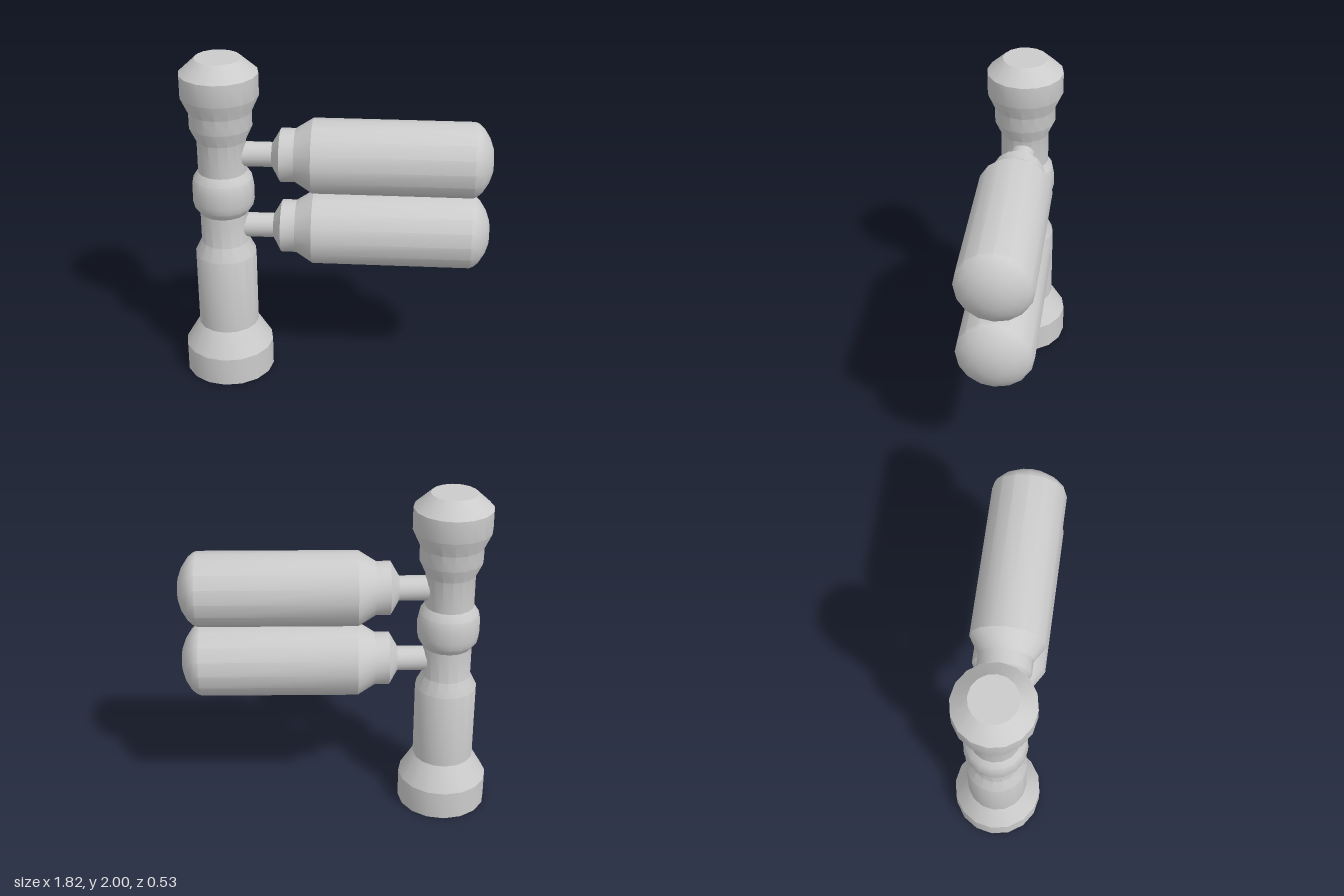
import * as THREE from 'three';
import { toCreasedNormals } from 'three/addons/utils/BufferGeometryUtils.js';

const SIDES = 16;
const COLUMN_X = -0.645;
const material = new THREE.MeshStandardMaterial({ color: 0xcccccc });

// Turned part from [radius, height] pairs, with sharp edges kept
function turned(name, profile) {
  const points = profile.map(([r, h]) => new THREE.Vector2(r, h));
  const geometry = toCreasedNormals(new THREE.LatheGeometry(points, SIDES), THREE.MathUtils.degToRad(29));
  const mesh = new THREE.Mesh(geometry, material);
  mesh.name = name;
  return mesh;
}

export function createModel() {
  const model = new THREE.Group();
  model.name = 'columnWithTwoArms';

  // Upright column: wide foot, shaft, middle bulge and flared cap
  const column = turned('column', [
    [0, 0], [0.267, 0], [0.267, 0.175], [0.182, 0.32],
    [0.182, 0.79], [0.143, 0.87], [0.143, 1.06],
    [0.172, 1.1], [0.182, 1.145], [0.182, 1.225], [0.172, 1.275], [0.143, 1.32],
    [0.143, 1.515], [0.182, 1.6], [0.182, 1.69],
    [0.225, 1.785], [0.225, 1.915], [0.132, 2], [0, 2],
  ]);
  column.position.x = COLUMN_X;
  model.add(column);

  // Two matching horizontal arms; profile heights are x positions
  const armProfile = [
    [0, -0.6], [0.072, -0.6], [0.072, -0.352], // stem
    [0.155, -0.304], [0.155, -0.22], // collar
    [0.217, -0.12], [0.217, 0.796], // barrel
    [0.207, 0.82], [0.183, 0.847], [0.128, 0.882], [0.07, 0.902], [0, 0.907], // rounded end
  ];
  for (const [name, y] of [['upperArm', 1.423], ['lowerArm', 0.968]]) {
    const arm = turned(name, armProfile);
    arm.rotation.z = -Math.PI / 2;
    arm.position.y = y;
    model.add(arm);
  }
  return model;
}
